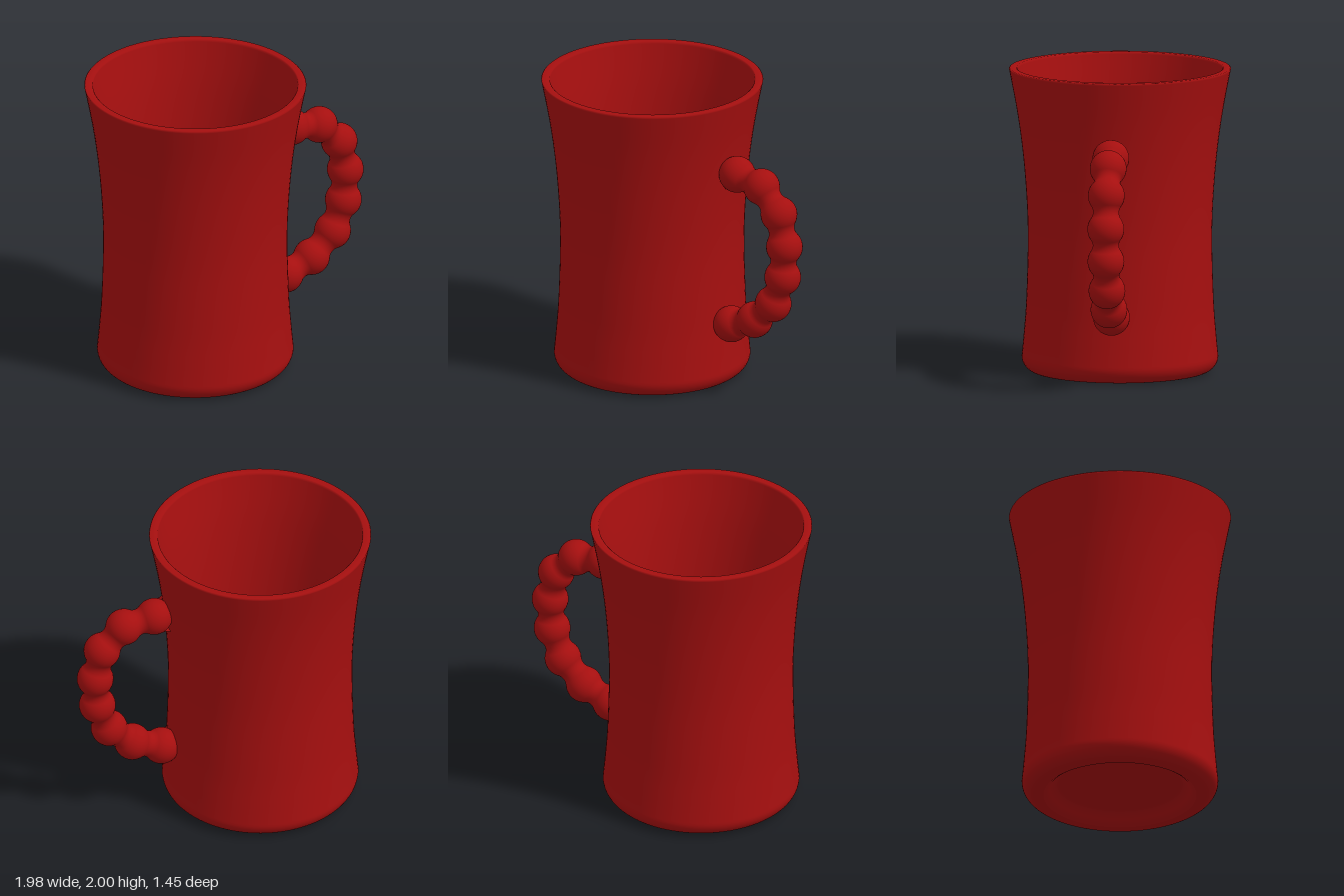
import * as THREE from 'three';

const material = new THREE.MeshStandardMaterial({ color: 0xa50f0f });
const AXIS_X = -0.272; // centre line of the cup
const BEAD = 0.12;
const NECK = 0.085;
const V = (x, y) => new THREE.Vector2(x, y);

function addMesh(parent, name, geometry) {
  const mesh = new THREE.Mesh(geometry, material);
  mesh.name = name;
  parent.add(mesh);
  return mesh;
}

// Smooth surface of revolution through a few profile points
function revolve(points, samples, segments = 96) {
  const profile = samples ? new THREE.SplineCurve(points).getPoints(samples) : points;
  return new THREE.LatheGeometry(profile, segments);
}

// Quarter-round corner as profile points
function arc(cx, cy, r, from, to, n = 10) {
  return Array.from({ length: n + 1 }, (_, i) => {
    const a = from + (to - from) * i / n;
    return V(cx + r * Math.cos(a), cy + r * Math.sin(a));
  });
}

// Turns a lathe built along y so that it runs from a towards b
function aim(mesh, a, b, position) {
  mesh.quaternion.setFromUnitVectors(new THREE.Vector3(0, 1, 0), b.clone().sub(a).normalize());
  mesh.position.copy(position);
}

// Concave collar tangent to two neighbouring beads
function neckGeometry(distance) {
  const half = distance / 2;
  const d = BEAD - NECK;
  const h = (half * half - d * d) / (2 * d);
  const fillet = h - NECK;
  const reach = Math.atan2(half, h);
  const profile = arc(h, 0, fillet, Math.PI + reach, Math.PI - reach, 14);
  return new THREE.LatheGeometry(profile, 32);
}

export function createModel() {
  const model = new THREE.Group();
  const cup = new THREE.Group();
  cup.name = 'cup';
  cup.position.x = AXIS_X;
  model.add(cup);

  // Outer wall: flared top, slim waist, rounded foot
  const wall = new THREE.SplineCurve([
    V(0.641, 0.1), V(0.627, 0.25), V(0.612, 0.45), V(0.602, 0.75), V(0.602, 0.98),
    V(0.614, 1.22), V(0.637, 1.47), V(0.672, 1.72), V(0.722, 1.985),
  ]).getPoints(48);
  addMesh(cup, 'outerWall', revolve([
    ...arc(0.541, 0.1, 0.1, -Math.PI / 2, 0).slice(0, -1), ...wall,
  ]));

  // Rim with slightly softened edges
  addMesh(cup, 'rim', revolve([
    V(0.722, 1.985), V(0.724, 1.994), V(0.718, 2), V(0.676, 2), V(0.669, 1.994), V(0.667, 1.985),
  ]));

  // Inside wall, rounded into the floor
  const inner = new THREE.SplineCurve([
    V(0.667, 1.985), V(0.612, 1.72), V(0.575, 1.47), V(0.55, 1.22), V(0.536, 0.98),
    V(0.534, 0.75), V(0.534, 0.3),
  ]).getPoints(40);
  addMesh(cup, 'innerWall', revolve([
    ...inner, ...arc(0.414, 0.3, 0.12, 0, -Math.PI / 2).slice(1), V(0, 0.18),
  ]));

  // Underside: standing ring with a dished recess
  addMesh(cup, 'baseRing', revolve([V(0.5, 0), V(0.541, 0)]));
  addMesh(cup, 'baseSlope', revolve([
    V(0.38, 0.08), V(0.41, 0.072), V(0.44, 0.05), V(0.47, 0.02), V(0.5, 0),
  ], 16));
  addMesh(cup, 'baseRecess', revolve([V(0, 0.08), V(0.38, 0.08)]));

  // Beaded handle
  const handle = new THREE.Group();
  handle.name = 'handle';
  model.add(handle);
  const beads = [
    [0.46, 1.51], [0.67, 1.475], [0.82, 1.32], [0.867, 1.105],
    [0.852, 0.89], [0.77, 0.685], [0.61, 0.535], [0.41, 0.455],
  ].map(([x, y]) => new THREE.Vector3(x, y, 0));
  const sphere = new THREE.SphereGeometry(BEAD, 32, 24);
  beads.forEach((p, i) => {
    addMesh(handle, 'bead', sphere).position.copy(p);
    if (i === 0) return;
    const a = beads[i - 1];
    const neck = addMesh(handle, 'neck', neckGeometry(a.distanceTo(p)));
    aim(neck, a, p, a.clone().add(p).multiplyScalar(0.5));
  });

  // Flared joints: each ring of vertices blends from the bead onto the curved wall
  function joint(bead, wallRadius, slope) {
    const rings = 10, sides = 40, positions = [], index = [];
    for (let j = 0; j <= rings; j++) {
      const t = j / rings;
      const r = 0.112 + 0.05 * (1 - Math.sqrt(1 - t * t));
      for (let i = 0; i <= sides; i++) {
        const a = i / sides * Math.PI * 2;
        const y = r * Math.sin(a), z = r * Math.cos(a);
        const wallX = AXIS_X + Math.sqrt((wallRadius + slope * y) ** 2 - z * z) - 0.004;
        const beadX = bead.x - 0.03;
        const k = Math.sin(t * Math.PI / 2);
        positions.push(beadX + (wallX - beadX) * k, bead.y + y, z);
        if (j < rings && i < sides) {
          const p = j * (sides + 1) + i, q = p + sides + 1;
          index.push(p, q, p + 1, q, q + 1, p + 1);
        }
      }
    }
    const geometry = new THREE.BufferGeometry();
    geometry.setAttribute('position', new THREE.Float32BufferAttribute(positions, 3));
    geometry.setIndex(index);
    geometry.computeVertexNormals();
    return geometry;
  }
  addMesh(handle, 'upperJoint', joint(beads[0], 0.642, 0.125));
  addMesh(handle, 'lowerJoint', joint(beads[7], 0.612, -0.06));
  // Check of winding: rings run towards -x while the angle runs from +z to +y

  return model;
}
